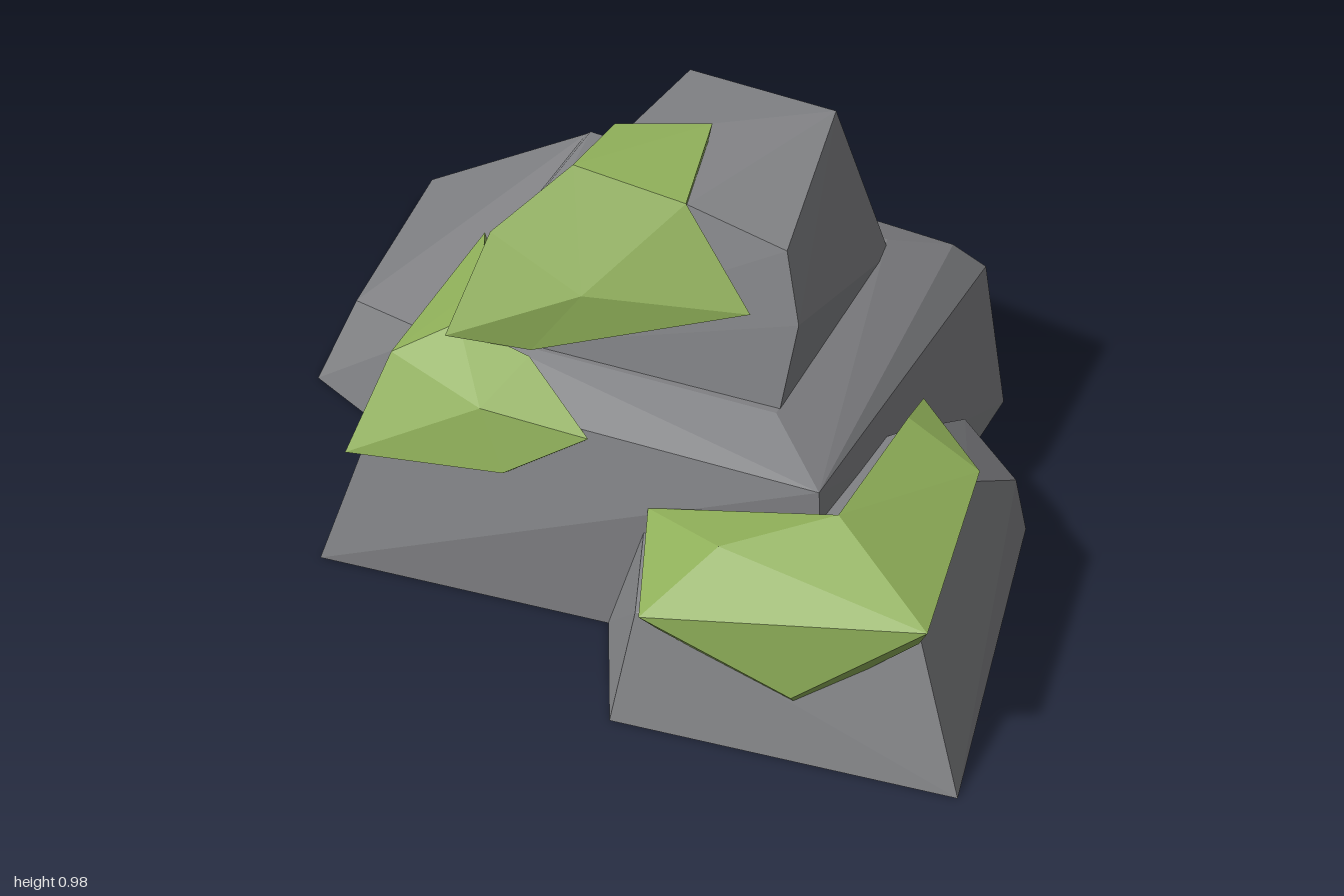
import * as THREE from 'three';
import { ConvexGeometry } from 'three/addons/geometries/ConvexGeometry.js';

const rock = new THREE.MeshStandardMaterial({ color: 0x808184 });
rock.name = 'rock grey';
const moss = new THREE.MeshStandardMaterial({ color: 0x8eae58, side: THREE.DoubleSide });
moss.name = 'moss green';

const vec = (p) => new THREE.Vector3(...p);

// A faceted boulder spanned by its corner points
function boulder(name, corners) {
  const mesh = new THREE.Mesh(new ConvexGeometry(corners.map(vec)), rock);
  mesh.name = name;
  return mesh;
}

// A moss cap: faceted top plus a skirt sinking from the rim toward a centre
function mossCap(name, points, faces, rim, centre, depth) {
  const top = points.map(vec);
  const c = vec(centre);
  const low = top.map((p) => p.clone().add(c.clone().sub(p).setLength(depth)));
  const tris = faces.flatMap((f) => f.map((i) => top[i]));
  rim.forEach((a, i) => {
    const b = rim[(i + 1) % rim.length];
    tris.push(low[a], low[b], top[b], low[a], top[b], top[a]);
  });
  const geometry = new THREE.BufferGeometry().setFromPoints(tris);
  geometry.computeVertexNormals();
  const mesh = new THREE.Mesh(geometry, moss);
  mesh.name = name;
  return mesh;
}

export function createModel() {
  const group = new THREE.Group();
  group.name = 'mossyRock';

  // Wide middle block with a bevelled shoulder
  group.add(boulder('mainBlock', [
    [-0.59, 0, 0.63], [0.6, 0, 0.53], [0.65, 0, -0.52], [-0.5, 0, -0.5],
    [-0.46, 0.46, 0.49], [0.56, 0.47, 0.49], [0.52, 0.47, -0.46], [0.59, 0.4, -0.5],
    [-0.41, 0.52, -0.48], [-0.44, 0.48, -0.52],
    [-0.3, 0.53, 0.35], [0.4, 0.525, 0.34], [0.4, 0.53, -0.34],
  ]));

  // Tall block on top
  group.add(boulder('topBlock', [
    [-0.3, 0.5, 0.35], [0.4, 0.5, 0.33], [0.41, 0.5, -0.33], [-0.29, 0.5, -0.3],
    [-0.2, 0.75, 0.25], [0.42, 0.72, 0.27], [-0.15, 0.72, -0.34], [-0.29, 0.55, -0.3],
    [0.37, 0.87, 0.22], [0.13, 0.91, 0.2], [-0.1, 0.9, 0.18], [-0.1, 0.92, 0.02],
    [-0.08, 0.89, -0.31], [0.32, 0.96, -0.19],
  ]));

  // Sloping block at the back
  group.add(boulder('backBlock', [
    [-1, 0, -0.71], [0.09, 0, -0.86], [0.38, 0, -0.6], [0.3, 0, 0.1],
    [-0.58, 0, 0.2], [-0.9, 0, 0.05],
    [-0.96, 0.08, -0.7], [-0.02, 0.08, -0.85], [0.02, 0.34, -0.74], [0.32, 0.34, -0.53],
    [-0.44, 0.48, -0.52], [-0.82, 0.21, -0.02], [-0.74, 0.21, -0.02],
    [-0.53, 0.31, 0.14], [0.25, 0.32, 0.05],
  ]));

  // Low block at the front corner
  group.add(boulder('frontBlock', [
    [0.1, 0, 0.57], [0.23, 0, 0.855], [1, 0, 0.78], [0.85, 0, -0.1],
    [0.65, 0, -0.26], [0.3, 0, 0.1],
    [0.94, 0.07, 0.71], [0.25, 0.24, 0.76], [0.16, 0.27, 0.5], [0.86, 0.3, 0.66],
    [0.62, 0.41, 0.48], [0.62, 0.37, 0.1], [0.79, 0.33, 0.17],
    [0.83, 0.17, -0.06], [0.65, 0.17, -0.22],
  ]));

  // Moss draped over the top block
  group.add(mossCap('topMoss', [
    [-0.13, 0.955, 0.22], [0.1, 0.98, -0.01], [-0.11, 0.955, 0.04], [-0.2, 0.74, -0.14],
    [-0.29, 0.79, 0.31], [-0.35, 0.6, 0.24], [-0.35, 0.57, 0.43], [-0.16, 0.56, 0.39],
    [0.32, 0.74, 0.3], [0.14, 0.935, 0.23], [-0.05, 0.72, 0.36],
  ], [
    [0, 9, 1], [0, 1, 2], [0, 2, 3], [0, 3, 4], [4, 3, 5], [4, 5, 6],
    [4, 6, 10], [6, 7, 10], [10, 7, 8], [10, 8, 9], [10, 9, 0], [10, 0, 4],
  ], [8, 9, 1, 2, 3, 5, 6, 7], [0.02, 0.55, 0], 0.06));

  // Moss over the front shoulder of the middle block
  group.add(mossCap('shoulderMoss', [
    [-0.47, 0.51, 0.46], [-0.34, 0.575, 0.38], [-0.16, 0.55, 0.4], [0.03, 0.46, 0.51],
    [-0.15, 0.35, 0.57], [-0.53, 0.3, 0.59], [-0.55, 0.28, 0.22], [-0.46, 0.53, 0],
    [-0.35, 0.58, 0.24], [-0.22, 0.48, 0.53],
  ], [
    [9, 3, 2], [9, 2, 1], [9, 1, 0], [0, 1, 8], [0, 8, 7],
    [0, 7, 6], [0, 6, 5], [0, 5, 9], [9, 5, 4], [9, 4, 3],
  ], [3, 2, 1, 8, 7, 6, 5, 4], [-0.2, 0.1, 0.2], 0.05));

  // Moss on the low front block
  group.add(mossCap('frontMoss', [
    [0.62, 0.46, 0.53], [0.18, 0.33, 0.53], [0.28, 0.28, 0.81], [0.62, 0.15, 0.785],
    [0.89, 0.37, 0.71], [0.82, 0.385, 0.19], [0.62, 0.385, 0], [0.4, 0.4, 0.66],
    [0.63, 0.43, 0.13],
  ], [
    [0, 1, 7], [1, 2, 7], [7, 2, 4], [2, 3, 4], [7, 4, 0],
    [0, 4, 5], [0, 5, 8], [8, 5, 6],
  ], [1, 2, 3, 4, 5, 6, 8, 0], [0.6, -0.3, 0.42], 0.07));

  return group;
}
